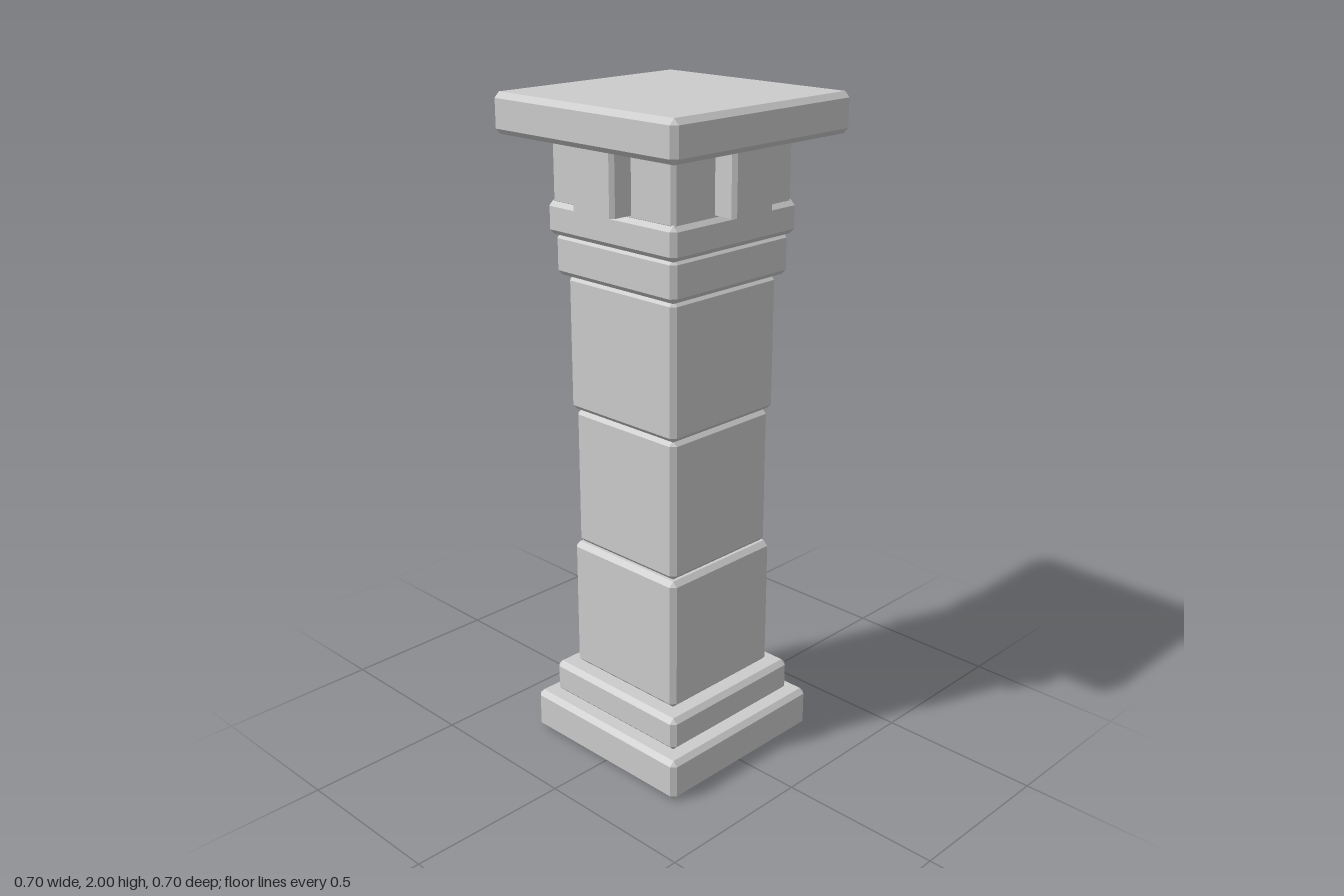
import * as THREE from 'three';
import { ConvexGeometry } from 'three/addons/geometries/ConvexGeometry.js';

const stone = new THREE.MeshStandardMaterial({ color: 0xcccccc, flatShading: true });

// Square block with every edge chamfered, standing from y0 to y1
function block(name, half, y0, y1, c = 0.015) {
  const h = (y1 - y0) / 2;
  const points = [];
  for (const x of [-1, 1]) for (const y of [-1, 1]) for (const z of [-1, 1]) {
    points.push(
      new THREE.Vector3(x * half, y * (h - c), z * (half - c)),
      new THREE.Vector3(x * (half - c), y * h, z * (half - c)),
      new THREE.Vector3(x * (half - c), y * (h - c), z * half));
  }
  const mesh = new THREE.Mesh(new ConvexGeometry(points), stone);
  mesh.name = name;
  mesh.position.y = (y0 + y1) / 2;
  return mesh;
}

// Upright bracket with chamfered vertical edges, projecting towards +z
function bracketGeometry(half, back, front, y0, y1, c) {
  const shape = new THREE.Shape([
    [-half, -back], [half, -back], [half, -front + c], [half - c, -front],
    [-half + c, -front], [-half, -front + c],
  ].map(([x, y]) => new THREE.Vector2(x, y)));
  const geometry = new THREE.ExtrudeGeometry(shape, { depth: y1 - y0, bevelEnabled: false });
  return geometry.rotateX(-Math.PI / 2).translate(0, y0, 0);
}

export function createModel() {
  const pillar = new THREE.Group();
  pillar.name = 'pillar';

  // Stacked stones: name, half width, bottom, top, chamfer
  const stones = [
    ['basePlinth', 0.303, 0, 0.13],
    ['baseStep', 0.259, 0.13, 0.235],
    ['shaftLower', 0.213, 0.235, 0.65],
    ['shaftMiddle', 0.203, 0.65, 1.08],
    ['shaftUpper', 0.213, 1.08, 1.487],
    ['neckLower', 0.236, 1.487, 1.61],
    ['neckUpper', 0.25, 1.605, 1.702],
    ['capitalCore', 0.238, 1.69, 1.9, 0.011],
    ['topSlab', 0.35, 1.885, 2, 0.016],
  ];
  for (const s of stones) pillar.add(block(...s));

  // One bracket in the middle of each capital face
  const geometry = bracketGeometry(0.081, 0.2, 0.308, 1.706, 1.89, 0.011);
  ['Front', 'Left', 'Back', 'Right'].forEach((side, i) => {
    const bracket = new THREE.Mesh(geometry, stone);
    bracket.name = 'bracket' + side;
    bracket.rotation.y = i * Math.PI / 2;
    pillar.add(bracket);
  });

  return pillar;
}
